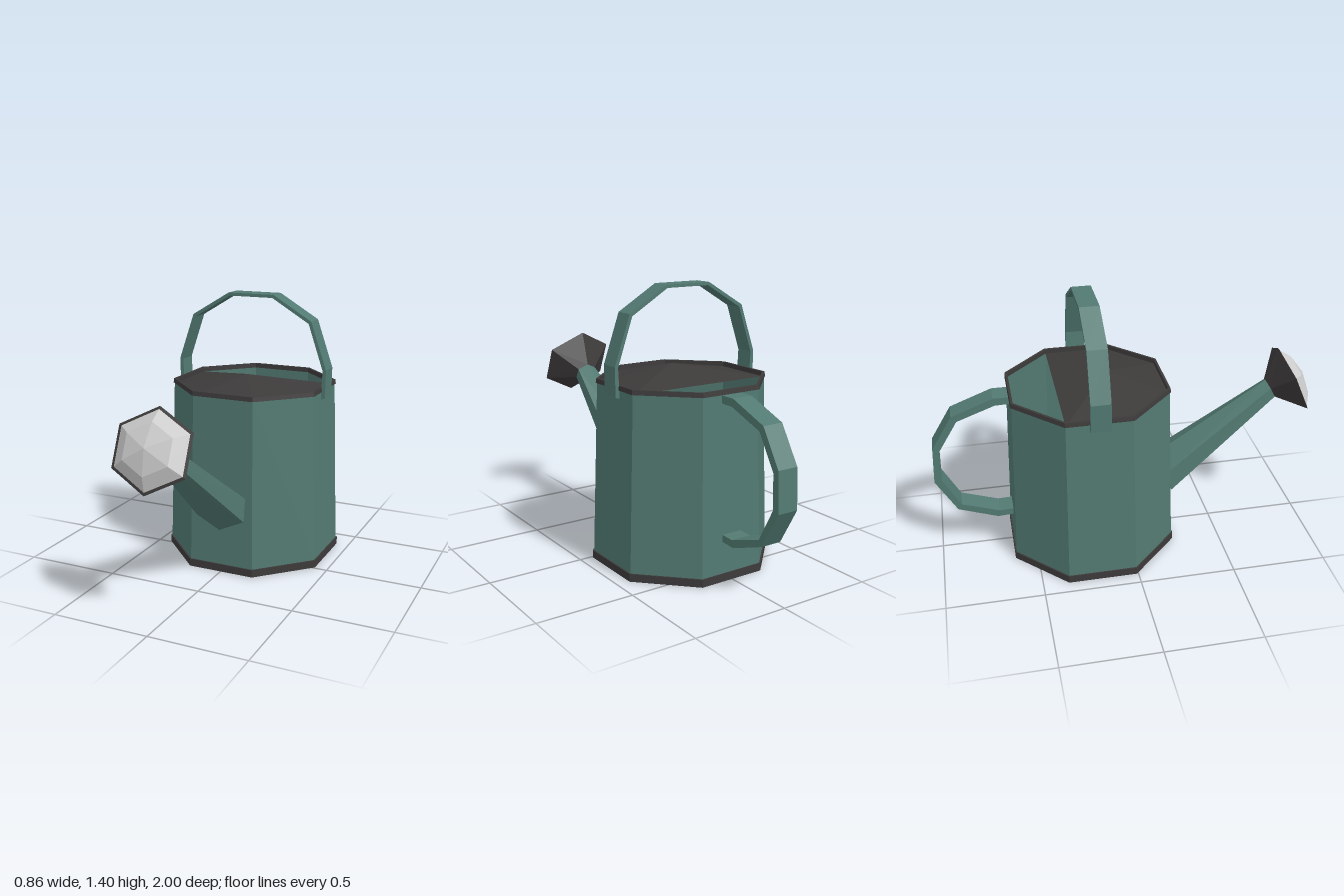
import * as THREE from 'three';

const paint = (color) => new THREE.MeshStandardMaterial({ color, flatShading: true, side: THREE.DoubleSide });
const CZ = -0.188; // centre of the can along z
const OCT = Math.cos(Math.PI / 8); // flat-to-corner ratio of an octagon

export function createModel() {
  const group = new THREE.Group();
  const green = paint(0x527a72), dark = paint(0x3d3a3a), grey = paint(0xcccccc);

  const add = (name, geometry, material) => {
    const mesh = new THREE.Mesh(geometry, material);
    mesh.name = name;
    group.add(mesh);
    return mesh;
  };

  // Eight-sided lathe with flats facing the axes; profile is [half width, y]
  const octagon = (name, profile, material) => {
    const pts = profile.map(([a, y]) => new THREE.Vector2(a / OCT, y));
    add(name, new THREE.LatheGeometry(pts, 8, Math.PI / 8), material).position.z = CZ;
  };

  // Skin over rings of equal point count; a ring of one point is a tip
  const loft = (rings) => {
    const n = Math.max(...rings.map((r) => r.length));
    const at = (r, k) => r[r.length === 1 ? 0 : k % n];
    const pos = [];
    for (let i = 0; i < rings.length - 1; i++) {
      const a = rings[i], b = rings[i + 1];
      for (let k = 0; k < n; k++) {
        if (a.length > 1) pos.push(...at(a, k), ...at(a, k + 1), ...at(b, k));
        if (b.length > 1) pos.push(...at(a, k + 1), ...at(b, k + 1), ...at(b, k));
      }
    }
    const g = new THREE.BufferGeometry();
    g.setAttribute('position', new THREE.Float32BufferAttribute(pos, 3));
    g.computeVertexNormals();
    return g;
  };

  // Hexagon with a corner up: centre (y, z), up vector (uy, uz), half width w
  const hexRing = (y, z, uy, uz, w) =>
    Array.from({ length: 6 }, (_, k) => {
      const t = (k * Math.PI) / 3, c = Math.cos(t);
      return [(-w * Math.sin(t)) / Math.sin(Math.PI / 3), y + c * uy, z + c * uz];
    });

  // Can: base, outer wall, rim, inside
  octagon('base', [[0, 0], [0.432, 0], [0.432, 0.04], [0.42, 0.04]], dark);
  octagon('body', [[0.425, 0.04], [0.397, 0.925]], green);
  octagon('rim', [[0.397, 0.922], [0.403, 0.922], [0.4, 0.945], [0.388, 0.945], [0.388, 0.92]], dark);
  octagon('inside', [[0.388, 0.922], [0.412, 0.05], [0, 0.05]], green);

  // Lid over the front part of the opening, raised to a low tip
  const a = 0.39, s = a * Math.tan(Math.PI / 8), ly = 0.92;
  const lidEdge = [[a, -s], [a, s], [s, a], [-s, a], [-a, s], [-a, -s]].map(([x, z]) => [x, ly, CZ + z]);
  add('lid', loft([lidEdge.reverse(), [[0, 0.99, -0.09]]]), dark);

  // Spout
  const neck = hexRing(0.794, 0.802, 0.051, -0.027, 0.055);
  add('spout', loft([hexRing(0.357, 0.235, 0.12, -0.02, 0.132), neck]), green);

  // Sprinkler head, tilted up; rings lie at radius r, pushed out by d
  const headRing = (r, d) =>
    hexRing(0.845 + 0.405 * d, 0.91 + 0.915 * d, 0.915 * r, -0.405 * r, 0.93 * r);
  add('sprinklerHead', loft([neck, headRing(0.199, 0), headRing(0.184, 0.004)]), dark);
  add('sprinklerFace', loft([headRing(0.184, 0.004), headRing(0.122, 0.045), [[0, 0.875, 0.979]]]), grey);

  // Flat strap handles, extruded from outer and inner outlines
  const strap = (outer, inner, width) => {
    const outline = [...outer, ...inner.slice().reverse()].map((p) => new THREE.Vector2(...p));
    return new THREE.ExtrudeGeometry(new THREE.Shape(outline), { depth: width, bevelEnabled: false })
      .translate(0, 0, -width / 2);
  };
  const mirrored = (half) => [...half, ...half.slice().reverse().map(([x, y]) => [-x, y])];

  const topHandle = strap(
    mirrored([[0.419, 0.888], [0.421, 1.035], [0.336, 1.28], [0.127, 1.405]]),
    mirrored([[0.396, 0.88], [0.403, 1.03], [0.322, 1.268], [0.121, 1.389]]), 0.1);
  add('topHandle', topHandle, green).position.z = -0.185;

  // Back handle: outline in (distance behind centre, y)
  const backHandle = strap(
    [[0.58, 0.92], [0.668, 0.92], [0.882, 0.838], [0.99, 0.66], [1.0, 0.46], [0.895, 0.274], [0.69, 0.198], [0.6, 0.203]],
    [[0.58, 0.882], [0.66, 0.88], [0.856, 0.808], [0.957, 0.642], [0.963, 0.47], [0.873, 0.302], [0.68, 0.235], [0.6, 0.238]], 0.11);
  add('backHandle', backHandle, green).rotation.y = Math.PI / 2;

  return group;
}
